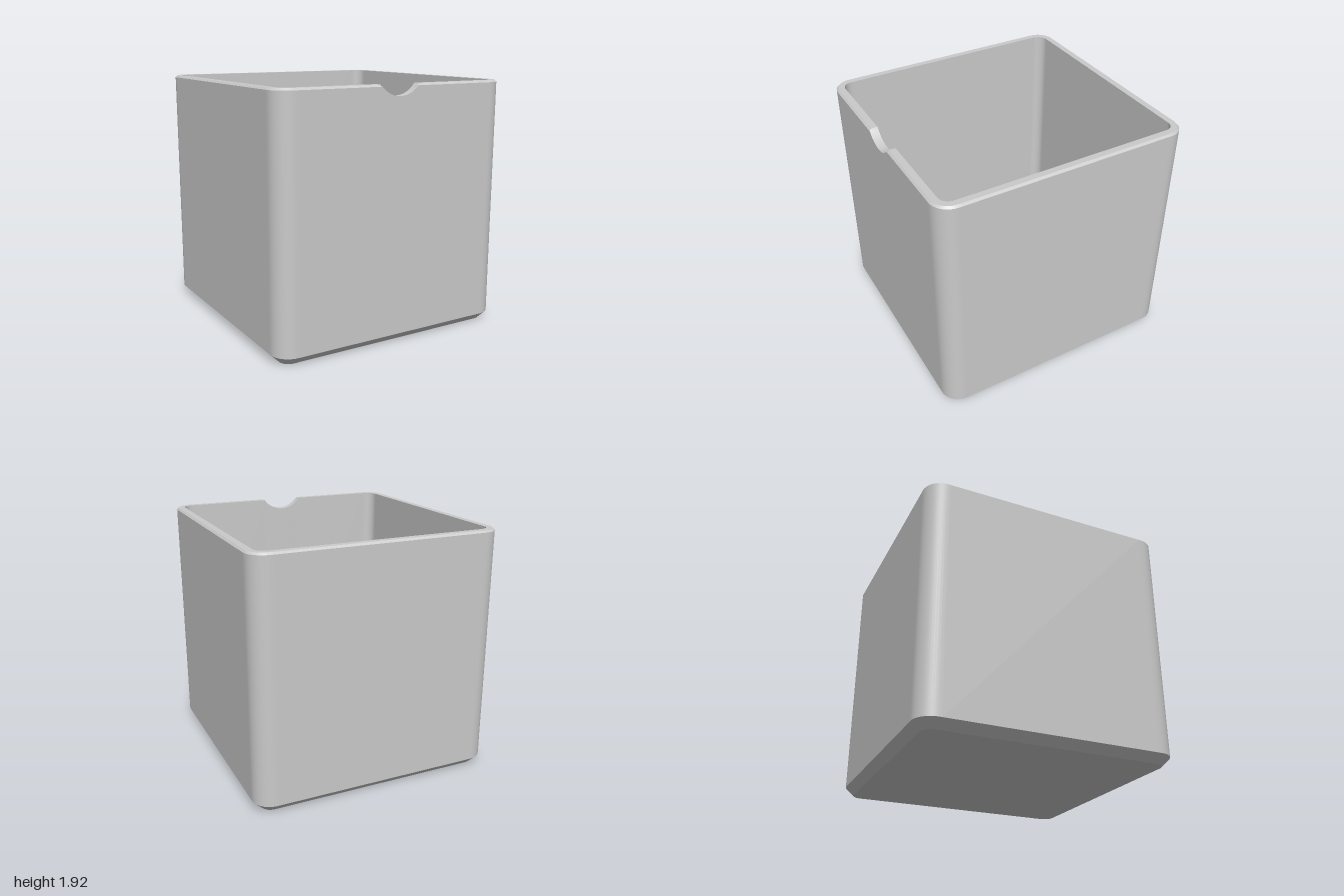
import * as THREE from 'three';
import { toCreasedNormals } from 'three/addons/utils/BufferGeometryUtils.js';

const HALF_X = 0.975, HALF_Z = 1, HEIGHT = 1.925;
const CORNER = 0.145, WALL = 0.065, FLOOR = 0.065, FILLET = 0.06;
const BEVEL = 0.065, EDGE = 0.015;
const CX = HALF_X - CORNER, CZ = HALF_Z - CORNER;

// Round thumb notch in the front wall
const NOTCH_R = 0.2026, NOTCH_Y = 2.0425;
const NOTCH_A = Math.acos((NOTCH_Y - HEIGHT) / NOTCH_R);

// One rounded-rectangle ring, inset from the outside; its top is cut by the notch
function ring(inset, y) {
  const r = CORNER - inset, pts = [], STEPS = 12, NOTCH_STEPS = 28;
  [[1, 1], [-1, 1], [-1, -1], [1, -1]].forEach(([sx, sz], k) => {
    for (let i = 0; i <= STEPS; i++) {
      const a = (k + i / STEPS) * Math.PI / 2;
      pts.push(new THREE.Vector3(sx * CX + r * Math.cos(a), y, sz * CZ + r * Math.sin(a)));
    }
    // points just past the corner keep the straight sides flat
    const near = 0.02;
    if (k === 0) {
      const z = HALF_Z - inset;
      pts.push(new THREE.Vector3(CX - near, y, z));
      for (let i = 0; i <= NOTCH_STEPS; i++) {
        const a = NOTCH_A * (1 - 2 * i / NOTCH_STEPS);
        pts.push(new THREE.Vector3(NOTCH_R * Math.sin(a), Math.min(y, NOTCH_Y - NOTCH_R * Math.cos(a)), z));
      }
      pts.push(new THREE.Vector3(near - CX, y, z));
    } else if (k === 2) {
      for (const s of [-1, 1]) pts.push(new THREE.Vector3(s * (CX - near), y, inset - HALF_Z));
    } else {
      for (const t of [sz, -sz]) pts.push(new THREE.Vector3(sx * (HALF_X - inset), y, t * (CZ - near)));
    }
  });
  return pts;
}

// Skin the rings given as [inset, y]; optionally close the first or last one
function loft(name, material, levels, cap) {
  const rings = levels.map(([inset, y]) => ring(inset, y));
  const out = [];
  const tri = (...v) => v.forEach(p => out.push(p.x, p.y, p.z));
  const n = rings[0].length;
  for (let i = 0; i < n; i++) {
    const j = (i + 1) % n;
    for (let l = 0; l + 1 < rings.length; l++) {
      const lo = rings[l], hi = rings[l + 1];
      tri(lo[i], hi[i], lo[j]);
      tri(lo[j], hi[i], hi[j]);
    }
    if (cap === 'start') tri(new THREE.Vector3(0, levels[0][1], 0), rings[0][i], rings[0][j]);
    if (cap === 'end') {
      const last = rings[rings.length - 1];
      tri(last[i], new THREE.Vector3(0, levels[levels.length - 1][1], 0), last[j]);
    }
  }
  const geometry = new THREE.BufferGeometry();
  geometry.setAttribute('position', new THREE.Float32BufferAttribute(out, 3));
  const mesh = new THREE.Mesh(toCreasedNormals(geometry, Math.PI / 6), material);
  mesh.name = name;
  return mesh;
}

export function createModel() {
  const group = new THREE.Group();
  group.name = 'openBox';
  const grey = new THREE.MeshStandardMaterial({ color: 0xcacaca });
  grey.name = 'grey';

  // Bottom with its sloped edge
  group.add(loft('base', grey, [[BEVEL, 0], [0, BEVEL]], 'start'));
  // Outside walls
  group.add(loft('outerWall', grey, [[0, BEVEL], [0, HEIGHT - EDGE]]));
  // Bevelled rim, dipping through the notch
  group.add(loft('rim', grey, [[0, HEIGHT - EDGE], [EDGE, HEIGHT], [WALL, HEIGHT]]));

  // Inside walls, rounded into the floor
  const inside = [[WALL, HEIGHT], [WALL, FLOOR + FILLET + 0.02]];
  for (let i = 0; i <= 8; i++) {
    const a = i / 8 * Math.PI / 2;
    inside.push([WALL + FILLET * (1 - Math.cos(a)), FLOOR + FILLET * (1 - Math.sin(a))]);
  }
  inside.push([WALL + FILLET + 0.01, FLOOR]);
  group.add(loft('interior', grey, inside, 'end'));
  return group;
}
